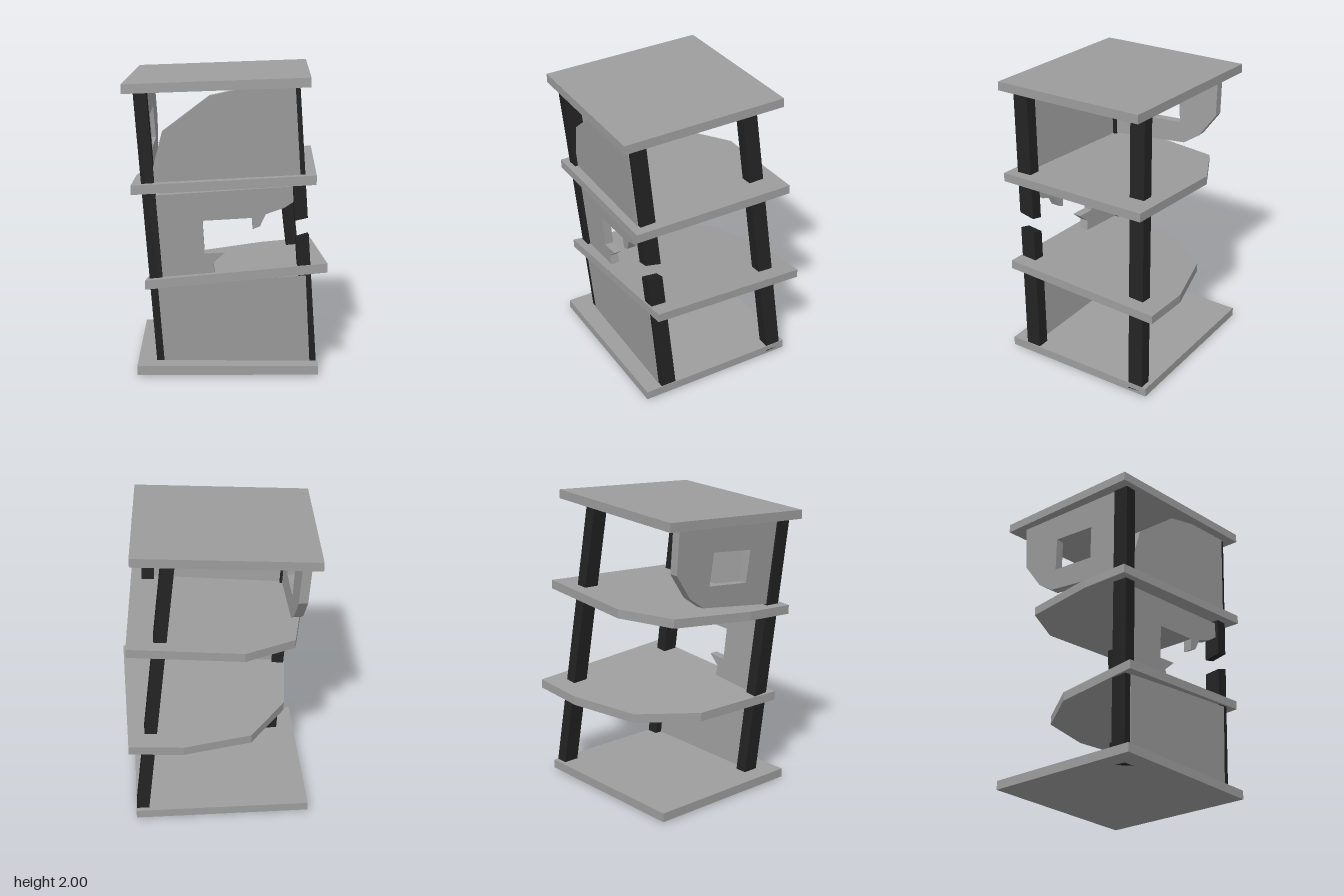
import * as THREE from 'three';

const T = 0.06; // slab and wall thickness
const LEAN_X = -0.072, LEAN_Z = 0.073; // lean of the whole frame per unit of height

const grey = new THREE.MeshStandardMaterial({ color: 0x9d9d9d, flatShading: true });
const dark = new THREE.MeshStandardMaterial({ color: 0x222222, flatShading: true });

// Extrudes an outline, then moves every vertex by the rule map(a, b, depth)
function prism(name, outline, depth, map, material = grey, hole = null) {
  const toVec = ([a, b]) => new THREE.Vector2(a, b);
  const shape = new THREE.Shape(outline.map(toVec));
  if (hole) shape.holes.push(new THREE.Path(hole.map(toVec)));
  const geo = new THREE.ExtrudeGeometry(shape, { depth, bevelEnabled: false });
  const p = geo.attributes.position;
  for (let i = 0; i < p.count; i++) p.setXYZ(i, ...map(p.getX(i), p.getY(i), p.getZ(i)));
  geo.computeVertexNormals();
  const mesh = new THREE.Mesh(geo, material);
  mesh.name = name;
  return mesh;
}

// Slab from an x/z footprint; its top lies on y = y0 + sx * x + sz * z
function slab(name, footprint, y0, sx, sz) {
  return prism(name, footprint.map(([x, z]) => [x, -z]), T,
    (x, b, d) => [x, y0 + sx * x - sz * b + d - T, -b]);
}

// Leaning column; (x0, z0) is its centre at y = 0.07, ends are slanted by [across x, across z]
function column(name, x0, z0, yLow, yHigh, { lowCut = [0.072, -0.073], highCut = [0.072, -0.073], leanX = LEAN_X } = {}) {
  const w = 0.042, h = 0.053;
  return prism(name, [[-w, -h], [w, -h], [w, h], [-w, h]], 1, (x, b, d) => {
    const z = -b, cut = d < 0.5 ? lowCut : highCut;
    const y = (d < 0.5 ? yLow : yHigh) + cut[0] * x + cut[1] * z;
    return [x0 + x + leanX * (y - 0.07), y, z0 + z + LEAN_Z * (y - 0.07)];
  }, dark);
}

// Front wall from an x/y outline; insets are measured back from the column fronts at each end
function frontWall(name, outline, insetRight, insetLeft) {
  return prism(name, outline, T, (x, y, d) => {
    const t = (x + 0.45) / 0.97;
    const inset = THREE.MathUtils.lerp(insetRight, insetLeft, t);
    return [x, y, 0.4 + 0.018 * t + LEAN_Z * (y - 0.07) - inset - T + d];
  });
}

export function createModel() {
  const model = new THREE.Group();
  model.name = 'ruinedTower';

  // Floors, the two middle ones broken off at the back right corner
  model.add(
    slab('baseSlab', [[-0.58, 0.533], [0.598, 0.533], [0.598, -0.564], [-0.58, -0.564]], 0.071, 0, 0),
    slab('firstFloorSlab', [
      [-0.525, 0.5], [0.654, 0.474], [0.628, -0.627], [0.268, -0.616], [-0.19, -0.475], [-0.45, -0.12],
    ], 0.657, 0.0906, 0.053),
    slab('secondFloorSlab', [
      [-0.608, 0.524], [0.568, 0.574], [0.617, -0.525], [-0.135, -0.557], [-0.475, -0.38], [-0.592, 0.18],
    ], 1.319, 0.0627, -0.038),
    slab('roofSlab', [[-0.656, 0.57], [0.523, 0.623], [0.57, -0.475], [-0.607, -0.527]], 1.956, 0.04, -0.0435),
  );

  // Columns, the front left one snapped in the middle storey
  model.add(
    column('frontRightColumn', -0.415, 0.347, 0.013, 1.88, { lowCut: [0.11, -0.12] }),
    column('frontLeftColumnLower', 0.55, 0.365, 0.03, 0.92, { highCut: [0.3, 0.1] }),
    column('frontLeftColumnUpper', 0.55, 0.365, 1.025, 1.9, { lowCut: [0.25, 0.2] }),
    column('backLeftColumn', 0.552, -0.48, 0.03, 1.93, { leanX: -0.119 }),
  );

  // Front walls
  model.add(
    frontWall('groundFrontWall', [[-0.407, 0.06], [0.55, 0.06], [0.515, 0.66], [-0.445, 0.585]], -0.004, -0.004),
    frontWall('middleFrontWall', [
      [-0.45, 0.61], [-0.07, 0.65], [-0.085, 0.74], [-0.005, 0.81], [-0.14, 0.8], [-0.153, 1.02],
      [0.164, 1.04], [0.17, 0.965], [0.217, 0.985], [0.254, 1.065], [0.37, 1.106], [0.45, 1.16],
      [0.46, 1.25], [-0.49, 1.185],
    ], 0.02, 0.02),
    frontWall('upperFrontWall', [
      [-0.49, 1.26], [0.47, 1.32], [0.43, 1.9], [0.12, 1.88], [-0.106, 1.83], [-0.407, 1.6], [-0.46, 1.4],
    ], 0.02, -0.012),
  );

  // Side wall with a window and a broken lower corner, outline in z/y
  model.add(prism('upperSideWall', [
    [0.46, 1.27], [0.48, 1.86], [-0.41, 1.9], [-0.415, 1.6], [-0.295, 1.43], [-0.18, 1.35],
  ], T, (z, y, d) => [-0.577 - 0.07 * (y - 1.85) - 0.025 * (z - 0.45) + T - d, y, z], grey,
  [[0.2, 1.677], [-0.116, 1.705], [-0.137, 1.487], [0.18, 1.46]]));

  return model;
}
